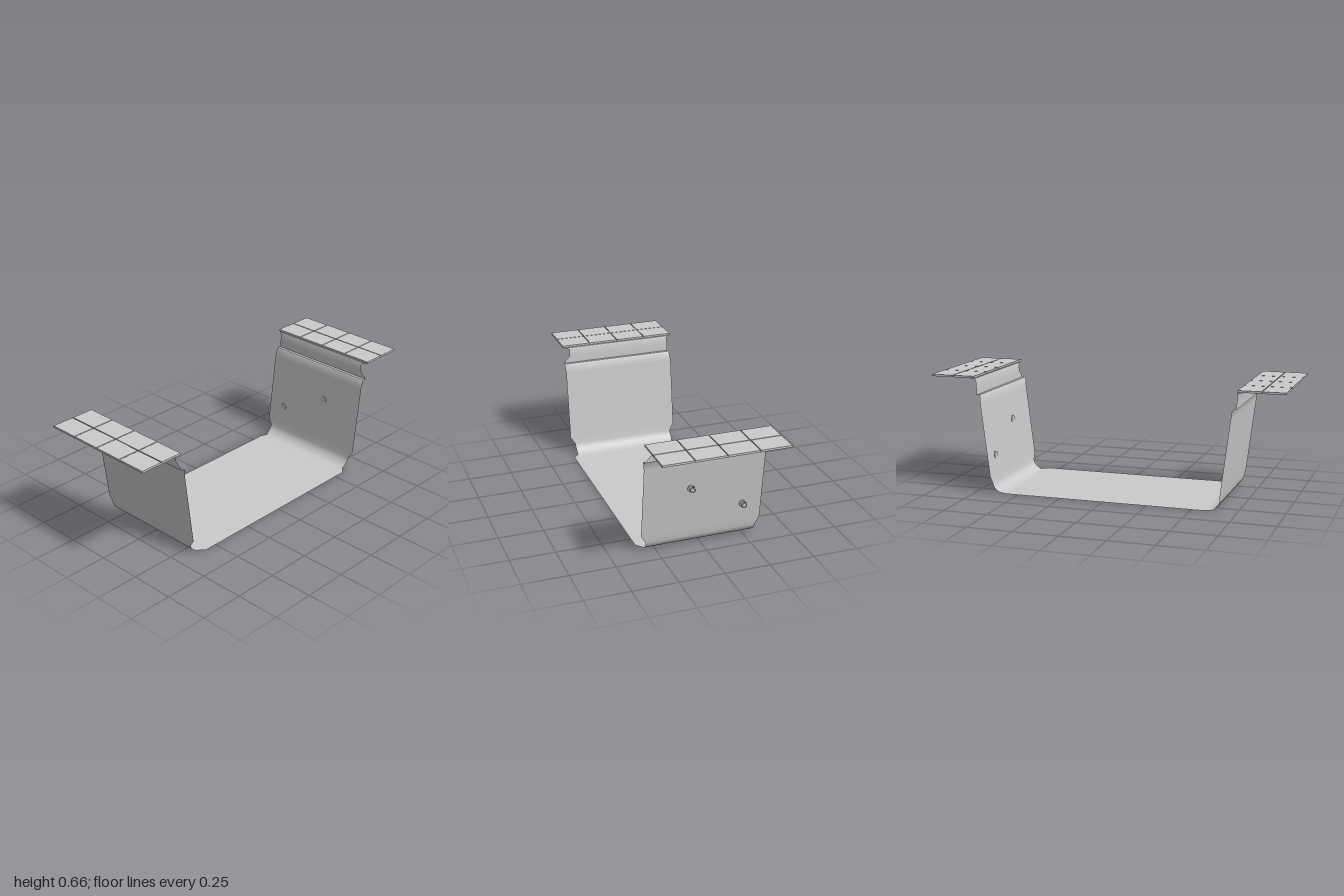
import * as THREE from 'three';
import { toCreasedNormals } from 'three/addons/utils/BufferGeometryUtils.js';

const grey = new THREE.MeshStandardMaterial({ color: 0xcccccc });
const sheet = new THREE.MeshStandardMaterial({ color: 0xcccccc, side: THREE.DoubleSide });

// Cross-section of the liner from the floor centre to the rim: [z, y, xMin, xMax]
const HALF = [
  [0.57, 0, -0.323, 0.336],
  [0.61, 0, -0.31, 0.303],
  [0.628, 0.011, -0.315, 0.304],
  [0.642, 0.024, -0.315, 0.304],
  [0.651, 0.038, -0.315, 0.305],
  [0.655, 0.052, -0.315, 0.306],
  [0.66, 0.095, -0.338, 0.333],
  [0.71, 0.5, -0.338, 0.333],
  [0.715, 0.55, -0.329, 0.338],
  [0.72, 0.556, -0.328, 0.338],
  [0.737, 0.556, -0.328, 0.34],
  [0.737, 0.56, -0.325, 0.338],
  [0.739, 0.598, -0.324, 0.3],
  [0.742, 0.638, -0.323, 0.3],
  [0.746, 0.648, -0.34, 0.33],
  [0.772, 0.648, -0.34, 0.33],
];

function add(parent, name, geometry, material = grey) {
  const mesh = new THREE.Mesh(geometry, material);
  mesh.name = name;
  parent.add(mesh);
  return mesh;
}

// Thin sheet lofted along the whole U-shaped section
function linerGeometry() {
  const mirrored = HALF.map(([z, ...rest]) => [-z, ...rest]).reverse();
  const rows = [...mirrored, ...HALF];
  const columns = 8;
  const positions = [], index = [];
  rows.forEach(([z, y, x0, x1], r) => {
    for (let c = 0; c <= columns; c++) {
      positions.push(THREE.MathUtils.lerp(x0, x1, c / columns), y, z);
      if (r === 0 || c === 0) continue;
      const d = r * (columns + 1) + c, b = d - columns - 1;
      index.push(b - 1, d - 1, d, b - 1, d, b);
    }
  });
  const geometry = new THREE.BufferGeometry();
  geometry.setAttribute('position', new THREE.Float32BufferAttribute(positions, 3));
  geometry.setIndex(index);
  return toCreasedNormals(geometry, 0.6);
}

// Paved rim: a base slab carrying two rows of four tiles
function rimPaving(side) {
  const rim = new THREE.Group();
  rim.name = side > 0 ? 'frontPaving' : 'backPaving';
  const x0 = -0.343, width = 0.683, z0 = 0.745, depth = 0.255, gap = 0.005;
  const slab = add(rim, 'pavingBase', new THREE.BoxGeometry(width, 0.006, depth));
  slab.position.set(x0 + width / 2, 0.655, side * (z0 + depth / 2));
  const w = (width + gap) / 4, d = (depth + gap) / 2;
  for (let i = 0; i < 4; i++) {
    for (let j = 0; j < 2; j++) {
      const tile = add(rim, 'tile', new THREE.BoxGeometry(w - gap, 0.007, d - gap));
      tile.position.set(x0 + w * i + (w - gap) / 2, 0.6595, side * (z0 + d * j + (d - gap) / 2));
    }
  }
  return rim;
}

// Drain valve through the back wall, with its axis along local z pointing outward
function valve(x, y, z) {
  const group = new THREE.Group();
  group.name = 'valve';
  const ring = (name, radius, length, at) => {
    const mesh = add(group, name, new THREE.CylinderGeometry(radius, radius, length, 20));
    mesh.rotation.x = Math.PI / 2;
    mesh.position.z = at;
  };
  ring('innerCollar', 0.02, 0.004, -0.003);
  ring('outerCollar', 0.02, 0.005, 0.004);
  ring('valveBody', 0.012, 0.03, 0.014);
  const lip = add(group, 'outletLip', new THREE.TorusGeometry(0.012, 0.004, 8, 20));
  lip.position.z = 0.027;
  // Lever bending up and then outward
  const path = new THREE.CatmullRomCurve3([
    new THREE.Vector3(0, 0.006, 0.024),
    new THREE.Vector3(0, 0.018, 0.026),
    new THREE.Vector3(0, 0.024, 0.032),
    new THREE.Vector3(0, 0.025, 0.043),
  ]);
  add(group, 'lever', new THREE.TubeGeometry(path, 10, 0.004, 8));
  const tip = add(group, 'leverTip', new THREE.SphereGeometry(0.004, 10, 8));
  tip.position.set(0, 0.025, 0.043);
  group.position.set(x, y, z);
  group.rotation.y = Math.PI;
  return group;
}

export function createModel() {
  const model = new THREE.Group();
  model.name = 'linedChannel';
  add(model, 'liner', linerGeometry(), sheet);
  model.add(rimPaving(1), rimPaving(-1));
  model.add(valve(-0.23, 0.2, -0.673), valve(0.07, 0.35, -0.692));
  return model;
}
